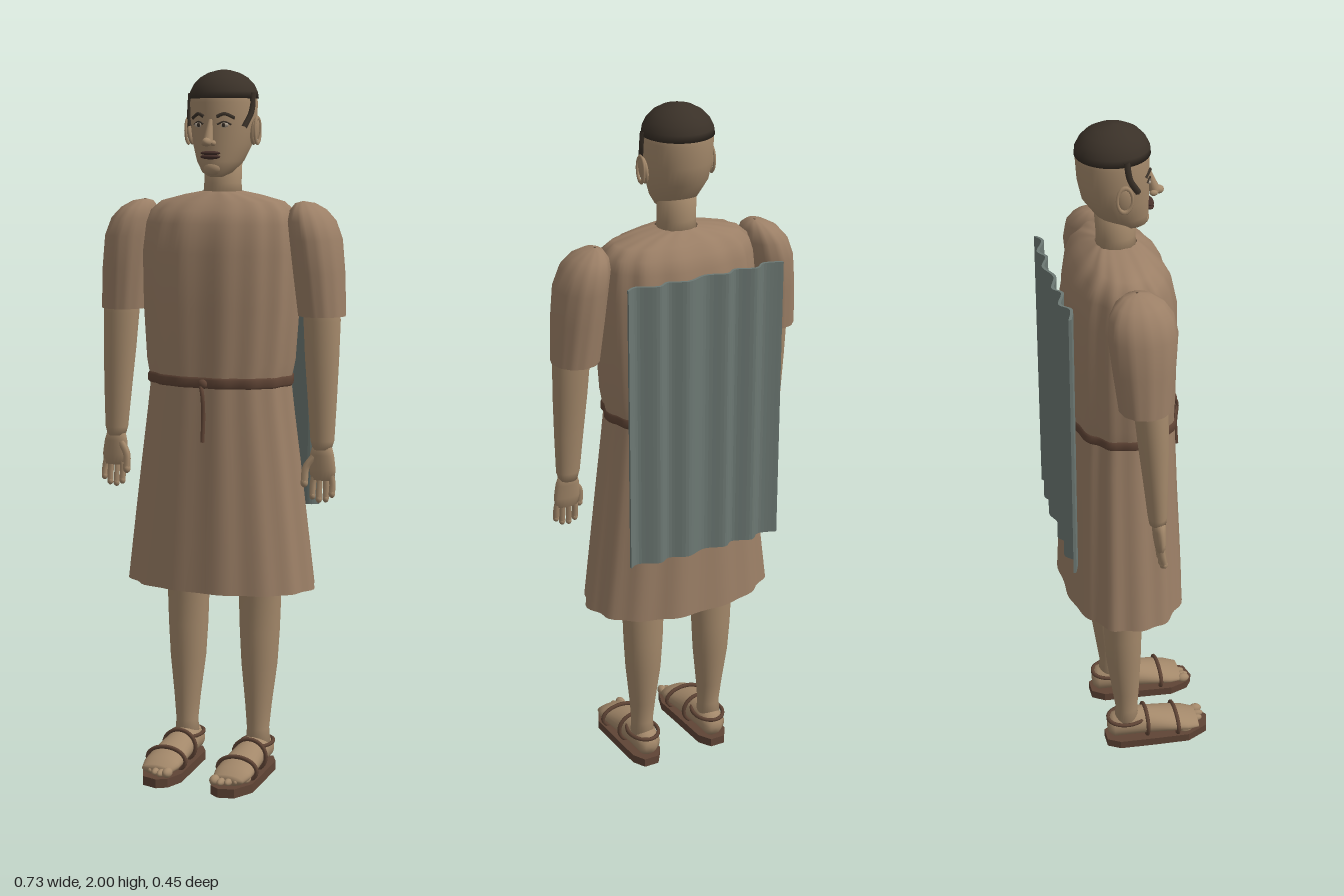
import * as THREE from 'three';

const mat = (name, color, side = THREE.FrontSide) => {
  const m = new THREE.MeshStandardMaterial({ color, side });
  m.name = name;
  return m;
};

// Skin over elliptical rings [y, cx, cz, rx, rz], listed upward; fold(angle, y) scales the radius
function loft(rings, { seg = 32, caps = true, fold = () => 1, power = 2 } = {}) {
  const pos = [], idx = [];
  const round = (v) => Math.sign(v) * Math.abs(v) ** (2 / power);
  for (const [y, cx, cz, rx, rz] of rings) {
    for (let j = 0; j < seg; j++) {
      const a = (j / seg) * Math.PI * 2, f = fold(a, y);
      pos.push(cx + round(Math.cos(a)) * rx * f, y, cz + round(Math.sin(a)) * rz * f);
    }
  }
  for (let i = 0; i < rings.length - 1; i++) {
    for (let j = 0; j < seg; j++) {
      const k = (j + 1) % seg, a = i * seg + j, b = i * seg + k;
      idx.push(a, a + seg, b, b, a + seg, b + seg);
    }
  }
  if (caps) {
    const last = (rings.length - 1) * seg, c = rings.length * seg;
    const top = rings[rings.length - 1];
    pos.push(rings[0][1], rings[0][0], rings[0][2], top[1], top[0], top[2]);
    for (let j = 0; j < seg; j++) {
      const k = (j + 1) % seg;
      idx.push(c, j, k, c + 1, last + k, last + j);
    }
  }
  const g = new THREE.BufferGeometry();
  g.setAttribute('position', new THREE.Float32BufferAttribute(pos, 3));
  g.setIndex(idx);
  g.computeVertexNormals();
  return g;
}

const tube = (pts, r, closed = false) => new THREE.TubeGeometry(
  new THREE.CatmullRomCurve3(pts.map((p) => new THREE.Vector3(...p)), closed), 28, r, 6, closed);

const HEAD = [
  [1.708, 0, 0.005, 0.022, 0.028], [1.72, 0, 0, 0.042, 0.048], [1.75, 0, -0.018, 0.064, 0.07],
  [1.8, 0, -0.036, 0.083, 0.088], [1.85, 0, -0.041, 0.091, 0.094], [1.91, 0, -0.043, 0.094, 0.096],
  [1.95, 0, -0.043, 0.086, 0.09], [1.98, 0, -0.043, 0.055, 0.06],
];

// Depth of the face surface at a given x and y
function faceZ(x, y) {
  const i = Math.max(1, HEAD.findIndex((r) => r[0] >= y));
  const [p, q] = [HEAD[i - 1], HEAD[i]], t = (y - p[0]) / (q[0] - p[0]);
  const [, , cz, rx, rz] = p.map((v, k) => v + (q[k] - v) * t);
  return cz + rz * Math.sqrt(Math.max(0, 1 - (x / rx) ** 2));
}

export function createModel() {
  const model = new THREE.Group();
  const skin = mat('skin', 0xa3886a);
  const cloth = mat('tunic cloth', 0x9b7f66, THREE.DoubleSide);
  const leather = mat('leather', 0x5f4435);
  const hair = mat('hair', 0x3a3128);
  const lip = mat('lips', 0x46302a);
  const eyeWhite = mat('eye white', 0xb3a594);
  const cape = mat('back cloth', 0x6c7873, THREE.DoubleSide);

  const add = (name, geo, material, parent = model) => {
    const m = new THREE.Mesh(geo, material);
    m.name = name;
    parent.add(m);
    return m;
  };
  const ball = (name, material, parent, x, y, z, rx, ry, rz) => {
    const m = add(name, new THREE.SphereGeometry(1, 16, 12), material, parent);
    m.position.set(x, y, z);
    m.scale.set(rx, ry, rz);
    return m;
  };

  // Tunic: bodice, open skirt
  const folds = (a, y) => 1 + 0.018 * Math.cos(14 * a) + 0.01 * Math.sin(9 * a + y * 2);
  add('tunicBody', loft([
    [1.14, 0, -0.026, 0.2, 0.143], [1.2, 0, -0.028, 0.212, 0.146], [1.35, 0, -0.03, 0.222, 0.149],
    [1.5, 0, -0.03, 0.225, 0.147], [1.58, 0, -0.032, 0.218, 0.132], [1.615, 0, -0.034, 0.208, 0.115],
    [1.64, 0, -0.035, 0.18, 0.09], [1.658, 0, -0.035, 0.11, 0.07], [1.668, 0, -0.035, 0.055, 0.054],
  ], { seg: 96, caps: false, power: 2.3, fold: folds }), cloth);
  add('tunicSkirt', loft([
    [0.557, 0, -0.028, 0.275, 0.172], [0.7, 0, -0.028, 0.257, 0.166], [0.9, 0, -0.028, 0.232, 0.156],
    [1.05, 0, -0.027, 0.212, 0.149], [1.15, 0, -0.026, 0.2, 0.143],
  ], { seg: 96, caps: false, power: 2.2, fold: folds }), cloth);

  // Belt with a knot and hanging cord
  add('belt', loft([[1.132, 0, -0.026, 0.203, 0.147], [1.138, 0, -0.026, 0.208, 0.152],
    [1.156, 0, -0.026, 0.208, 0.152], [1.162, 0, -0.026, 0.203, 0.147]],
  { seg: 96, caps: false, power: 2.25, fold: folds }), leather);
  ball('beltKnot', leather, model, 0.01, 1.145, 0.131, 0.014, 0.014, 0.01);
  add('beltCord', tube([[0.005, 1.145, 0.133], [0.014, 1.12, 0.142], [0.016, 1.06, 0.139], [0.015, 0.985, 0.143]], 0.006), leather);

  // Neck, head, hair
  add('neck', loft([[1.64, 0, -0.035, 0.056, 0.055], [1.69, 0, -0.035, 0.052, 0.052],
    [1.76, 0, -0.038, 0.053, 0.054]]), skin);
  add('head', loft(HEAD, { seg: 40 }), skin);
  add('hair', loft([
    [1.921, 0, -0.043, 0.096, 0.099], [1.94, 0, -0.043, 0.093, 0.097], [1.96, 0, -0.043, 0.083, 0.087],
    [1.978, 0, -0.043, 0.066, 0.07], [1.991, 0, -0.043, 0.043, 0.046], [1.998, 0, -0.043, 0.018, 0.02], [2, 0, -0.043, 0.004, 0.004],
  ], { seg: 40 }), hair);

  // Nose, mouth
  const nose = add('nose', new THREE.CylinderGeometry(0.006, 0.015, 0.068, 12), skin);
  nose.position.set(0, 1.831, 0.061);
  nose.rotation.x = -0.3;
  ball('noseTip', skin, model, 0, 1.803, 0.078, 0.013, 0.012, 0.016);
  for (const [name, y, h] of [['upperLip', 1.773, 0.006], ['lowerLip', 1.763, 0.007]]) {
    ball(name, lip, model, 0, y, faceZ(0, y) + 0.001, 0.03, h, 0.013);
  }
  ball('chin', skin, model, 0, 1.732, 0.037, 0.026, 0.02, 0.017);

  for (const s of [1, -1]) {
    const side = new THREE.Group();
    side.name = s > 0 ? 'leftSide' : 'rightSide';
    model.add(side);

    // Eye, brow, nostril, ear and sideburn
    const ez = faceZ(0.037, 1.849);
    ball('eye', eyeWhite, side, s * 0.037, 1.849, ez - 0.001, 0.014, 0.007, 0.005);
    ball('iris', hair, side, s * 0.037, 1.849, ez + 0.003, 0.005, 0.006, 0.002);
    const arc = (pts, lift) => pts.map(([x, y]) => [s * x, y, faceZ(x, y) + lift]);
    add('eyelid', tube(arc([[0.02, 1.85], [0.037, 1.858], [0.055, 1.85]], 0.002), 0.0025), hair, side);
    add('brow', tube(arc([[0.018, 1.871], [0.038, 1.879], [0.062, 1.868]], 0.001), 0.005), hair, side);
    ball('nostril', skin, side, s * 0.013, 1.8, 0.064, 0.008, 0.008, 0.011);
    const ear = ball('ear', skin, side, s * 0.096, 1.832, -0.034, 0.01, 0.038, 0.022);
    ear.rotation.z = -s * 0.12;
    const rim = add('earRim', new THREE.TorusGeometry(0.02, 0.004, 6, 20), skin, side);
    rim.position.set(s * 0.104, 1.834, -0.034);
    rim.rotation.y = Math.PI / 2;
    rim.scale.y = 1.7;
    add('sideburn', tube([[s * 0.093, 1.935, -0.027], [s * 0.092, 1.885, -0.018], [s * 0.08, 1.842, 0.006]], 0.009), hair, side);

    // Sleeve and arm
    add('sleeve', loft([
      [1.332, s * 0.301, -0.026, 0.065, 0.07], [1.45, s * 0.291, -0.027, 0.069, 0.083],
      [1.54, s * 0.281, -0.028, 0.069, 0.091], [1.59, s * 0.268, -0.03, 0.063, 0.084],
      [1.62, s * 0.256, -0.032, 0.048, 0.064], [1.638, s * 0.246, -0.034, 0.026, 0.036], [1.643, s * 0.24, -0.035, 0.003, 0.004],
    ], { seg: 48, caps: false, fold: (a) => 1 + 0.015 * Math.cos(12 * a) }), cloth, side);
    add('forearm', loft([
      [0.965, s * 0.316, 0.006, 0.026, 0.023], [0.99, s * 0.316, 0.005, 0.034, 0.026], [1.1, s * 0.313, 0, 0.041, 0.033],
      [1.22, s * 0.309, -0.006, 0.048, 0.041], [1.32, s * 0.306, -0.012, 0.052, 0.045], [1.42, s * 0.3, -0.018, 0.052, 0.046],
    ]), skin, side);

    // Hand
    add('palm', loft([
      [0.88, s * 0.32, 0.012, 0.034, 0.012], [0.91, s * 0.319, 0.011, 0.039, 0.016],
      [0.95, s * 0.317, 0.009, 0.035, 0.018], [0.98, s * 0.316, 0.007, 0.026, 0.02],
    ], { seg: 20 }), skin, side);
    [[0.293, 0.826], [0.312, 0.818], [0.332, 0.821], [0.35, 0.835]].forEach(([x, y], i) => {
      add('finger', tube([[s * (0.297 + i * 0.016), 0.9, 0.012], [s * x, 0.87, 0.014], [s * x, y + 0.01, 0.018]], 0.0088), skin, side);
      ball('fingertip', skin, side, s * x, y + 0.009, 0.018, 0.0088, 0.011, 0.0088);
    });
    add('thumb', tube([[s * 0.296, 0.945, 0.016], [s * 0.276, 0.915, 0.024], [s * 0.273, 0.872, 0.03]], 0.0105), skin, side);
    ball('thumbTip', skin, side, s * 0.273, 0.872, 0.03, 0.0105, 0.013, 0.0105);

    // Leg
    add('leg', loft([
      [0.07, s * 0.112, -0.034, 0.036, 0.038], [0.13, s * 0.112, -0.033, 0.032, 0.033], [0.2, s * 0.112, -0.036, 0.038, 0.04],
      [0.32, s * 0.112, -0.042, 0.052, 0.051], [0.42, s * 0.112, -0.044, 0.058, 0.055],
      [0.55, s * 0.112, -0.045, 0.063, 0.054], [0.8, s * 0.112, -0.04, 0.075, 0.065],
    ]), skin, side);

    // Foot, skinned from heel to toe, and toes
    const foot = loft([
      [-0.09, 0, -0.058, 0.018, 0.02], [-0.075, 0, -0.063, 0.036, 0.038], [-0.03, 0, -0.069, 0.041, 0.045],
      [0.03, 0, -0.064, 0.045, 0.041], [0.1, 0, -0.055, 0.053, 0.032], [0.15, 0, -0.046, 0.055, 0.023],
      [0.185, 0, -0.04, 0.046, 0.015],
    ], { seg: 28 });
    foot.rotateX(Math.PI / 2).translate(s * 0.11, 0, 0);
    add('foot', foot, skin, side);
    for (let i = 0; i < 5; i++) {
      const r = i === 0 ? 0.014 : 0.0105;
      ball('toe', skin, side, s * (0.073 + i * 0.0195), 0.025 + r, 0.193 - 0.004 * i * (i - 1), r, r, 0.02);
    }

    // Sandal sole and straps
    const outline = new THREE.Shape([[0.048, 0.15], [0.066, 0.205], [0.095, 0.224], [0.14, 0.212], [0.17, 0.15],
      [0.165, 0.06], [0.156, -0.06], [0.135, -0.097], [0.09, -0.097], [0.066, -0.06], [0.056, 0.06]]
      .map(([x, z]) => new THREE.Vector2(s * x, -z)));
    const sole = new THREE.ExtrudeGeometry(outline, { depth: 0.026, bevelEnabled: false });
    sole.rotateX(-Math.PI / 2);
    add('sandalSole', sole, leather, side);
    const ring = (f) => Array.from({ length: 16 }, (_, i) => f(Math.cos(i * Math.PI / 8), Math.sin(i * Math.PI / 8)));
    add('toeStrap', tube(ring((c, n) => [s * 0.11 + c * 0.06, 0.051 + n * 0.036, 0.118]), 0.006, true), leather, side);
    add('instepStrap', tube(ring((c, n) => [s * 0.11 + c * 0.05, 0.064 + n * 0.046, 0.025]), 0.006, true), leather, side);
    add('ankleStrap', tube(ring((c, n) => [s * 0.11 + c * 0.044, 0.088, -0.032 + n * 0.058]), 0.006, true), leather, side);
  }

  // Pleated cloth panel hanging behind
  const pleats = [[-0.23, -0.207], [-0.178, -0.193], [-0.145, -0.216], [-0.09, -0.198], [-0.058, -0.217], [0, -0.2],
    [0.058, -0.219], [0.11, -0.2], [0.145, -0.216], [0.2, -0.193], [0.23, -0.207]];
  const curve = new THREE.SplineCurve(pleats.map((p) => new THREE.Vector2(...p)));
  const front = curve.getPoints(60);
  const strip = new THREE.Shape([
    ...front.map((p) => new THREE.Vector2(p.x, -p.y - 0.004)),
    ...front.reverse().map((p) => new THREE.Vector2(p.x, -p.y + 0.004)),
  ]);
  const panel = new THREE.ExtrudeGeometry(strip, { depth: 0.815, steps: 6, bevelEnabled: false });
  panel.rotateX(-Math.PI / 2).translate(0, 0.765, 0);
  add('backPanel', panel, cape);

  return model;
}
